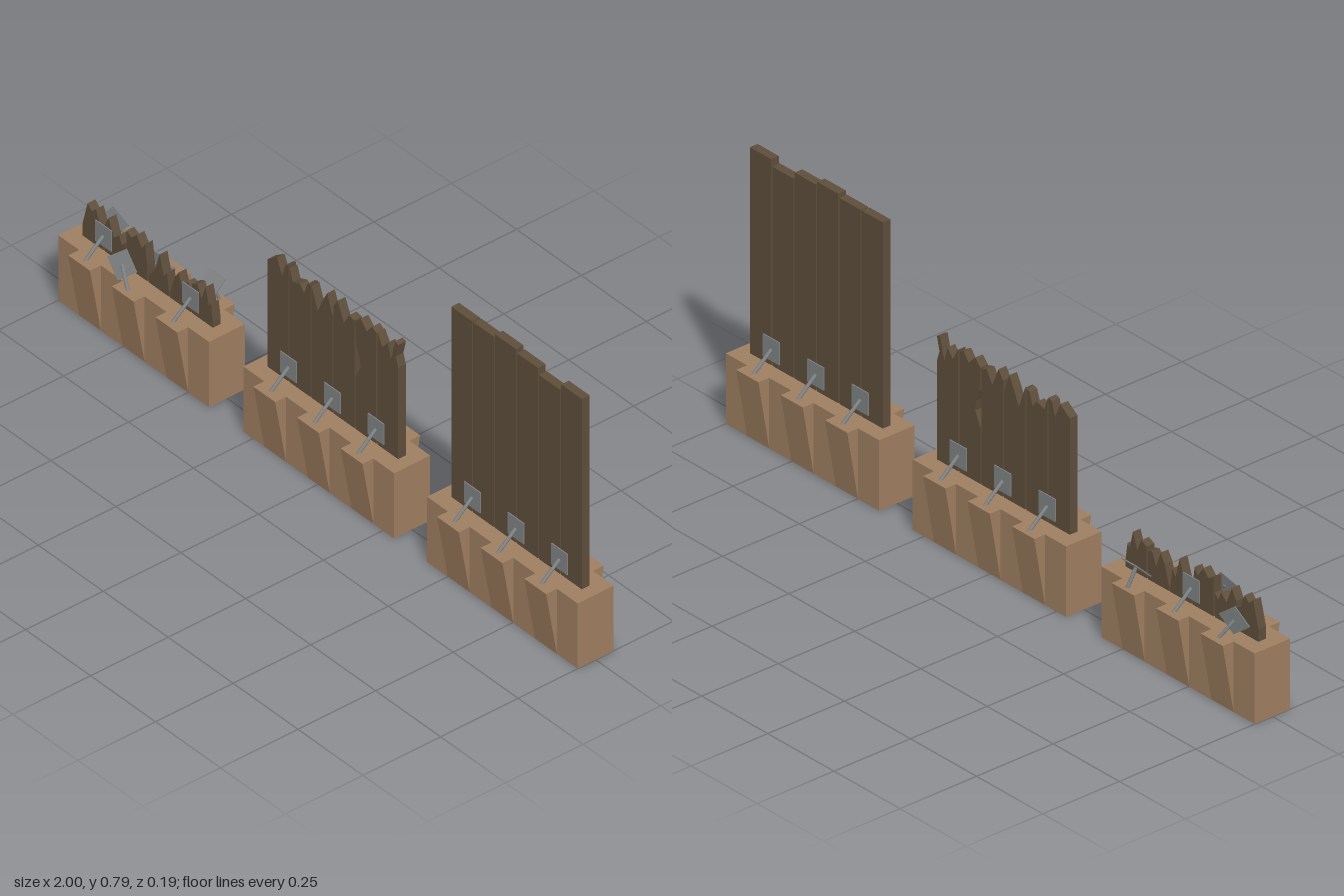
import * as THREE from 'three';

const mat = (color) => new THREE.MeshStandardMaterial({ color });
const stone = mat(0x9e7e60), wood = mat(0x5e4e3b), metal = mat(0x7f8284);

const BASE_H = 0.2, BASE_D = 0.058, PLANK_D = 0.025, PITCH = 0.0845, PLANK_W = 0.08;

function part(name, geometry, material) {
  const mesh = new THREE.Mesh(geometry, material);
  mesh.name = name;
  return mesh;
}

// Vertical board cut from a front outline
function board(points) {
  const shape = new THREE.Shape(points.map(([x, y]) => new THREE.Vector2(x, y)));
  const geo = new THREE.ExtrudeGeometry(shape, { depth: PLANK_D, bevelEnabled: false });
  return part('plank', geo.translate(0, 0, -PLANK_D / 2), wood);
}

// Wedge that leans out from the base towards its top
function buttress(x, side) {
  const s = new THREE.Shape([[0.05, 0], [BASE_D, 0], [0.093, BASE_H], [0.05, BASE_H]]
    .map(([z, y]) => new THREE.Vector2(z, y)));
  const geo = new THREE.ExtrudeGeometry(s, { depth: 0.084, bevelEnabled: false });
  geo.translate(0, 0, -0.042).rotateY(-Math.PI / 2);
  const mesh = part('buttress', geo, stone);
  mesh.position.x = x;
  if (side < 0) mesh.rotation.y = Math.PI;
  return mesh;
}

// Square plate held by a diagonal strut
function bracket(foot, centre, rotation = [0, 0, 0]) {
  const group = new THREE.Group();
  group.name = 'bracket';
  const a = new THREE.Vector3(...foot), b = new THREE.Vector3(...centre);
  const dir = b.clone().sub(a);
  const strut = part('strut', new THREE.CylinderGeometry(0.005, 0.005, dir.length(), 8), metal);
  strut.position.copy(a).add(b).multiplyScalar(0.5);
  strut.quaternion.setFromUnitVectors(new THREE.Vector3(0, 1, 0), dir.normalize());
  const plate = part('plate', new THREE.BoxGeometry(0.062, 0.064, 0.003), metal);
  plate.position.copy(b);
  plate.rotation.set(...rotation);
  group.add(strut, plate);
  return group;
}

// tops: per plank, outline points [fraction across, height] from left to right
function wall(name, x, tops, bentBrackets = {}) {
  const group = new THREE.Group();
  group.name = name;
  group.position.x = x;
  const base = part('base', new THREE.BoxGeometry(0.58, BASE_H, BASE_D * 2), stone);
  base.position.y = BASE_H / 2;
  group.add(base);
  tops.forEach((top, i) => {
    const x0 = (i - 3) * PITCH + (PITCH - PLANK_W) / 2;
    const edge = top.map(([u, y]) => [x0 + u * PLANK_W, y]).reverse();
    group.add(board([[x0, 0.19], [x0 + PLANK_W, 0.19], ...edge]));
  });
  for (const side of [1, -1]) {
    for (const i of [-1, 0, 1]) {
      const bx = i * 0.168;
      group.add(buttress(bx, side));
      const bent = bentBrackets[`${side},${i}`];
      group.add(bent ? bracket(...bent)
        : bracket([bx, 0.195, side * 0.076], [bx, 0.247, side * 0.0145]));
    }
  }
  return group;
}

export function createModel() {
  const model = new THREE.Group();
  model.name = 'barricades';

  // Intact planks, slightly uneven heights
  const intact = [0.784, 0.784, 0.794, 0.784, 0.765, 0.784].map((h) => [[0, h], [1, h]]);

  // Half-broken planks with splintered tops
  const damaged = [
    [[0, 0.53], [0.45, 0.555], [0.7, 0.51], [0.85, 0.55], [1, 0.555]],
    [[0, 0.55], [0.15, 0.515], [0.5, 0.525], [0.7, 0.505], [0.85, 0.54], [1, 0.545]],
    [[0, 0.545], [0.3, 0.48], [0.55, 0.525], [0.75, 0.555], [1, 0.5]],
    [[0, 0.53], [0.2, 0.555], [0.5, 0.5], [0.75, 0.535], [1, 0.53]],
    [[0, 0.36], [0.25, 0.4], [0.2, 0.43], [0.05, 0.46], [0, 0.53], [0.25, 0.55], [0.55, 0.525], [0.8, 0.55], [1, 0.54]],
    [[0, 0.545], [0.25, 0.51], [0.5, 0.535], [0.65, 0.49], [0.85, 0.555], [1, 0.55], [0.88, 0.51], [1, 0.48]],
  ];

  // Planks smashed down to stumps
  const stumps = [
    [[0, 0.235], [0.25, 0.31], [0.45, 0.295], [0.65, 0.31], [0.85, 0.27], [1, 0.265]],
    [[0, 0.28], [0.2, 0.31], [0.45, 0.26], [0.7, 0.28], [0.85, 0.255], [1, 0.27]],
    [[0, 0.31], [0.25, 0.3], [0.5, 0.32], [0.75, 0.29], [0.9, 0.31], [1, 0.25]],
    [[0, 0.22], [0.3, 0.25], [0.55, 0.31], [0.75, 0.25], [0.9, 0.27], [1, 0.21]],
    [[0, 0.215], [0.2, 0.27], [0.4, 0.295], [0.6, 0.25], [0.8, 0.285], [1, 0.28]],
    [[0, 0.29], [0.25, 0.3], [0.45, 0.265], [0.65, 0.31], [0.8, 0.26], [0.9, 0.27], [1, 0.22]],
  ];
  const bent = {
    '1,0': [[0, 0.195, 0.075], [-0.045, 0.248, 0.057], [-0.3, 0.3, 0.75]],
    '-1,-1': [[-0.168, 0.195, -0.075], [-0.195, 0.248, -0.042], [-0.15, 0.3, -0.6]],
    '-1,1': [[0.168, 0.195, -0.08], [0.162, 0.252, -0.055], [-0.8, 0, 0]],
  };

  model.add(
    wall('destroyedBarricade', -0.71, stumps, bent),
    wall('damagedBarricade', 0.003, damaged),
    wall('intactBarricade', 0.71, intact),
  );
  return model;
}
